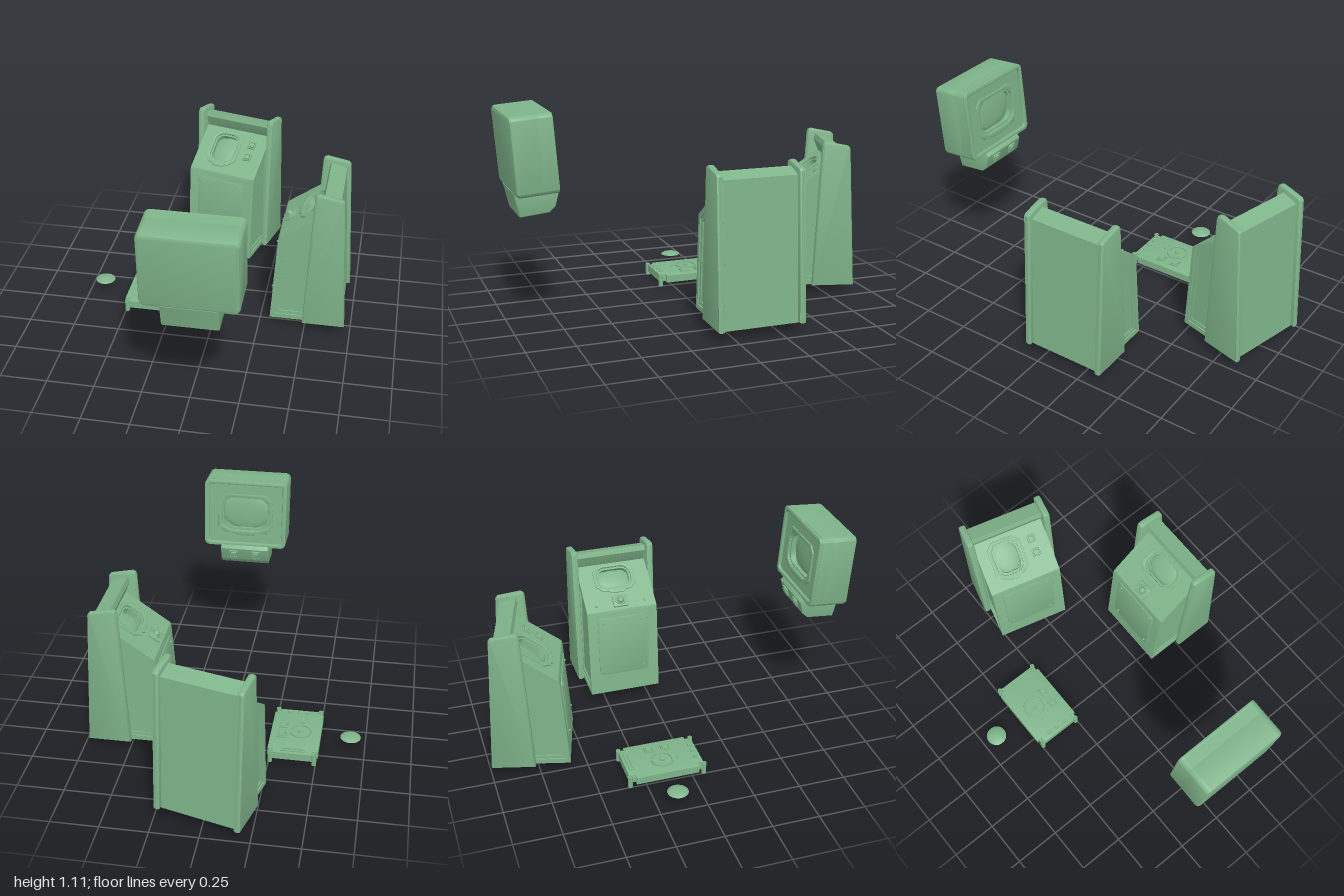
import * as THREE from 'three';
import { toCreasedNormals } from 'three/addons/utils/BufferGeometryUtils.js';

const mat = new THREE.MeshStandardMaterial({ color: 0x7fb48a });

function add(parent, name, geo, x = 0, y = 0, z = 0) {
  const m = new THREE.Mesh(geo, mat);
  m.name = name;
  m.position.set(x, y, z);
  parent.add(m);
  return m;
}
const poly = (pts) => new THREE.Shape(pts.map((p) => new THREE.Vector2(p[0], p[1])));

function roundRect(w, h, r, cx = 0, cy = 0) {
  const s = new THREE.Shape(), x = w / 2 - r, y = h / 2 - r;
  s.absarc(cx + x, cy + y, r, 0, Math.PI / 2);
  s.absarc(cx - x, cy + y, r, Math.PI / 2, Math.PI);
  s.absarc(cx - x, cy - y, r, Math.PI, Math.PI * 1.5);
  s.absarc(cx + x, cy - y, r, Math.PI * 1.5, Math.PI * 2);
  s.closePath();
  return s;
}
function circle(r, cx = 0, cy = 0) {
  const s = new THREE.Shape();
  s.absarc(cx, cy, r, 0, Math.PI * 2);
  return s;
}
// Slab from z = 0 to z = depth, bevelled inside its outline
function slab(shape, depth, bevel = 0, holes = []) {
  shape.holes.push(...holes);
  const g = new THREE.ExtrudeGeometry(shape, {
    depth: depth - 2 * bevel, bevelEnabled: bevel > 0, bevelSize: bevel, bevelThickness: bevel,
    bevelOffset: -bevel, bevelSegments: 2, curveSegments: 8,
  });
  g.translate(0, 0, bevel);
  return toCreasedNormals(g, 0.6);
}
// Side profile (z, y) spread along x, centred on x = 0
function profile(pts, width, bevel = 0, holes = []) {
  return slab(poly(pts), width, bevel, holes).translate(0, 0, -width / 2).rotateY(-Math.PI / 2);
}
// Outline (x, -z) raised upward
const flat = (shape, h, bevel = 0, holes = []) => slab(shape, h, bevel, holes).rotateX(-Math.PI / 2);

// Chamfered surround with a tab at the bottom, around a rounded screen and its bulged glass
function addScreen(parent, x, y, z, w, h, r, depth) {
  const a = w / 2 + 0.022, b = h / 2 + 0.018, c = 0.035;
  const outline = (k) => poly([
    [-a + c, b], [-a, b - c], [-a, -b + c], [-a + c, -b], [-0.45 * a, -b], [-0.3 * a, -b - k], [0.3 * a, -b - k],
    [0.45 * a, -b], [a - c, -b], [a, -b + c], [a, b - c], [a - c, b]]);
  add(parent, 'screenSurround', slab(outline(0.015), 0.009, 0.003, [roundRect(w, h, r)]), x, y, z);
  add(parent, 'screenRim', slab(roundRect(w, h, r), 0.02, 0, [roundRect(w - 0.02, h - 0.02, r - 0.01)]), x, y, z - 0.025);
  const glass = add(parent, 'screenGlass', new THREE.SphereGeometry(1, 28, 14), x, y, z - depth);
  glass.scale.set(w * 0.52, h * 0.52, 0.016);
}
function addButton(parent, x, y, z, s = 0.035) {
  add(parent, 'buttonFrame', slab(roundRect(s, s, 0.004), 0.01, 0.002, [roundRect(s * 0.72, s * 0.72, 0.003)]), x, y, z);
  add(parent, 'buttonCap', slab(roundRect(s * 0.6, s * 0.6, 0.003), 0.014, 0.003), x, y, z);
}
function addScrew(parent, x, y, z, r = 0.007) {
  add(parent, 'screw', new THREE.CylinderGeometry(r * 0.7, r, 0.008, 12).rotateX(Math.PI / 2), x, y, z + 0.003);
}

function makeConsole(name, withStick) {
  const g = new THREE.Group();
  g.name = name;
  const front = [[0.205, 0.055], [0.17, 0.55], [0.165, 0.565]];
  const back = [[-0.075, 0.735], [-0.05, 0.8], [-0.06, 0.828], [-0.145, 0.8], [-0.185, 0.055]];
  add(g, 'cabinet', profile([...front, [0.136, 0.524], [-0.104, 0.694], ...back], 0.37));
  // Side walls with a stepped recess, and outer side plates
  const recess = (m) => poly([[0.196 - m, 0.065 + m], [0.165 - m, 0.555 - m * 0.7], [-0.02, 0.685 - m * 1.2], [-0.02, 0.065 + m]]);
  for (const s of [-1, 1]) {
    add(g, 'sideFrame', profile([...front, ...back], 0.008, 0, [recess(0.016)]), s * 0.196);
    add(g, 'sideFrameStep', profile([...front, ...back], 0.008, 0, [recess(0.034)]), s * 0.188);
    add(g, 'sidePlate', profile([[0.025, 0.055], [-0.014, 0.838], [-0.02, 0.85], [-0.036, 0.856], [-0.155, 0.832],
      [-0.165, 0.82], [-0.205, 0.055]], 0.037, 0.01), s * 0.2165);
  }
  // Service hatch on the front
  const hatch = new THREE.Group();
  hatch.name = 'serviceHatch';
  hatch.position.set(0, 0.348, 0.1843);
  hatch.rotation.x = -Math.atan2(0.035, 0.495);
  g.add(hatch);
  add(hatch, 'hatchCover', slab(roundRect(0.29, 0.355, 0.025), 0.006, 0.002));
  for (const x of [-0.115, 0.115]) for (const y of [-0.145, 0.145]) addScrew(hatch, x, y, 0.006);
  // Sloped control panel
  const desk = new THREE.Group();
  desk.name = 'controlPanel';
  desk.position.set(0, 0.65, 0.045);
  desk.rotation.x = -Math.atan2(0.24, 0.17);
  g.add(desk);
  const [x, y, w, h] = withStick ? [0, 0.055, 0.19, 0.13] : [-0.045, 0.015, 0.145, 0.18];
  add(desk, 'deskPlate', slab(poly([[-0.185, -0.147], [0.185, -0.147], [0.185, 0.147], [-0.185, 0.147]]), 0.05, 0,
    [roundRect(w, h, 0.05, x, y)]), 0, 0, -0.05);
  addScreen(desk, x, y, 0, w, h, 0.05, 0.048);
  if (withStick) {
    add(desk, 'stickBase', slab(roundRect(0.085, 0.07, 0.008), 0.014, 0.004), 0, -0.098, 0);
    add(desk, 'stickCollar', new THREE.TorusGeometry(0.024, 0.005, 8, 24), 0, -0.098, 0.014);
    add(desk, 'stickBall', new THREE.SphereGeometry(0.018, 20, 12), 0, -0.098, 0.017);
    for (const s of [-1, 1]) addScrew(desk, s * 0.14, -0.11, 0);
  } else {
    addButton(desk, 0.112, 0.065, 0, 0.045);
    addButton(desk, 0.112, -0.015, 0, 0.045);
  }
  return g;
}

function makeMonitor() {
  const g = new THREE.Group();
  g.name = 'monitor';
  const W = 0.475, H = 0.4;
  add(g, 'shell', slab(roundRect(W, H, 0.03), 0.16, 0.018), 0, 0, -0.105);
  add(g, 'shellFront', slab(roundRect(W, H, 0.03), 0.07, 0, [roundRect(0.27, 0.2, 0.065)]), 0, 0, 0.025);
  add(g, 'shellRim', slab(roundRect(W, H, 0.03), 0.018, 0.006, [roundRect(W - 0.05, H - 0.05, 0.02)]), 0, 0, 0.092);
  addScreen(g, 0, 0, 0.095, 0.27, 0.2, 0.065, 0.04);
  // Button box hanging below
  add(g, 'buttonBox', profile([[-0.105, -0.19], [-0.084, -0.315], [0.067, -0.312], [0.1, -0.285], [0.125, -0.212],
    [0.108, -0.19]], 0.28, 0.008));
  const face = new THREE.Group();
  face.name = 'buttonFace';
  face.position.set(0, -0.245, 0.113);
  face.rotation.x = Math.atan2(0.025, 0.073);
  g.add(face);
  for (const s of [-1, 1]) addButton(face, s * 0.065, 0, 0, 0.05);
  g.rotation.order = 'YXZ';
  g.rotation.set(-0.075, Math.PI, 0);
  g.position.set(0.047, 0.9, 0.88);
  return g;
}

function makeFloorPanel() {
  const g = new THREE.Group();
  g.name = 'floorPanel';
  const outline = (m) => {
    const a = 0.135 - m, b = 0.105 - m, c = 0.17 - m, d = 0.203 - m;
    return poly([[b, d], [-b, d], [-b, c], [-a, c], [-a, -c], [-b, -c], [-b, -d], [b, -d], [b, -c], [a, -c], [a, c], [b, c]]);
  };
  add(g, 'skirt', flat(outline(0), 0.035, 0, [outline(0.012)]), 0, 0.02);
  add(g, 'topPlate', flat(outline(0), 0.012, 0.003), 0, 0.05);
  add(g, 'innerPlate', flat(outline(0.01), 0.008, 0, [circle(0.06, -0.025, 0)]), 0, 0.03);
  add(g, 'domeSeat', flat(circle(0.06), 0.009, 0.002, [circle(0.052)]), -0.025, 0.06);
  add(g, 'knob', new THREE.CylinderGeometry(0.012, 0.014, 0.012, 16), -0.025, 0.066);
  add(g, 'pointer', new THREE.BoxGeometry(0.03, 0.006, 0.004), 0, 0.063);
  const top = new THREE.Group();
  top.name = 'topControls';
  top.rotation.x = -Math.PI / 2;
  top.position.y = 0.06;
  g.add(top);
  for (const s of [-1, 1]) addButton(top, 0.073, s * 0.045, 0, 0.05);
  add(g, 'slotFrame', flat(roundRect(0.13, 0.026, 0.004), 0.008, 0, [roundRect(0.114, 0.012, 0.003)]), 0, 0.06, -0.175);
  for (const x of [-0.05, 0, 0.05]) add(g, 'roundKey', new THREE.CylinderGeometry(0.01, 0.012, 0.012, 16), x, 0.065, 0.175);
  add(g, 'smallKey', new THREE.CylinderGeometry(0.009, 0.009, 0.008, 16), -0.03, 0.064, 0.085);
  // Hollow corner posts on short brackets
  for (const x of [-1, 1]) for (const z of [-1, 1]) {
    add(g, 'cornerPost', flat(circle(0.013), 0.065, 0, [circle(0.007)]), x * 0.117, 0, z * 0.2);
    add(g, 'postBracket', new THREE.BoxGeometry(0.022, 0.025, 0.022), x * 0.112, 0.042, z * 0.177);
  }
  g.position.set(-0.375, 0, -0.135);
  return g;
}

export function createModel() {
  const root = new THREE.Group();
  root.name = 'controlRoomSet';
  const rear = makeConsole('rearConsole', false);
  rear.position.set(-0.027, 0, -0.744);
  rear.rotation.y = -0.26;
  const side = makeConsole('sideConsole', true);
  side.position.set(0.515, 0, -0.135);
  side.rotation.y = -Math.PI / 2;
  root.add(rear, side, makeMonitor(), makeFloorPanel());
  // Loose shallow dome with a closed base
  const pts = [[0, 0], [0.055, 0], [0.046, 0.006], [0.032, 0.011], [0.016, 0.0145], [0, 0.0155]];
  const dome = new THREE.LatheGeometry(pts.map((p) => new THREE.Vector2(...p)), 32);
  add(root, 'domeLens', toCreasedNormals(dome, 0.3), -0.67, 0.057, -0.135);
  return root;
}
